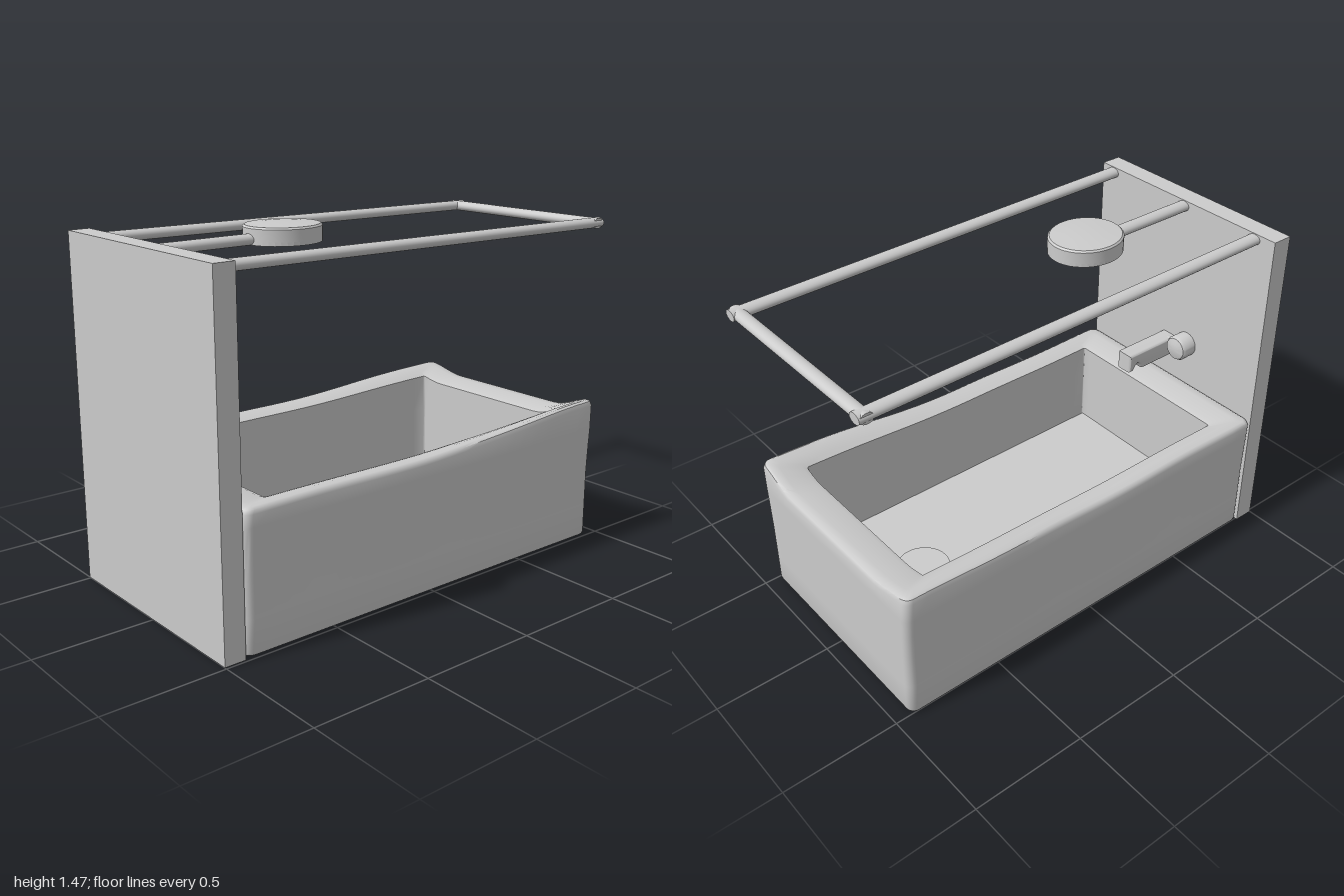
import * as THREE from 'three';
import { toCreasedNormals } from 'three/addons/utils/BufferGeometryUtils.js';

const material = new THREE.MeshStandardMaterial({ color: 0xcccccc, side: THREE.DoubleSide });

function part(parent, name, geometry, x = 0, y = 0, z = 0) {
  const mesh = new THREE.Mesh(geometry, material);
  mesh.name = name;
  mesh.position.set(x, y, z);
  parent.add(mesh);
  return mesh;
}

// Slightly flattened round bar between two points
function bar(parent, name, a, b, rx, ry) {
  const from = new THREE.Vector3(...a), to = new THREE.Vector3(...b);
  const geometry = new THREE.CylinderGeometry(rx, rx, from.distanceTo(to), 24);
  geometry.rotateX(Math.PI / 2);
  geometry.scale(1, ry / rx, 1);
  const mesh = part(parent, name, geometry);
  mesh.position.copy(from).add(to).multiplyScalar(0.5);
  mesh.lookAt(to);
  return mesh;
}

// Points round a rounded rectangle, counter-clockwise from above
function ring({ x0, x1, z0, z1, r, y }) {
  const corners = [
    [x1 - r, z0 + r, 0], [x0 + r, z0 + r, 1], [x0 + r, z1 - r, 2], [x1 - r, z1 - r, 3],
  ];
  const points = [], arc = 6, side = 24;
  corners.forEach(([cx, cz, q], k) => {
    for (let i = 0; i <= arc; i++) {
      const t = (q + i / arc) * Math.PI / 2;
      points.push(new THREE.Vector3(cx + r * Math.cos(t), y, cz - r * Math.sin(t)));
    }
    const last = points[points.length - 1];
    const [nx, nz, nq] = corners[(k + 1) % 4];
    const t = nq * Math.PI / 2;
    const next = new THREE.Vector3(nx + r * Math.cos(t), y, nz - r * Math.sin(t));
    for (let i = 1; i < side; i++) points.push(last.clone().lerp(next, i / side));
  });
  return points;
}

// Soft rim: the back corners lift and the long sides flare a little
function sag(p) {
  const high = THREE.MathUtils.smoothstep(p.y, 0.3, 0.57);
  const back = THREE.MathUtils.smoothstep(-p.z, -0.1, 0.95);
  const edge = THREE.MathUtils.smoothstep(Math.abs(p.x), 0.3, 0.5);
  const lift = p.x > 0 ? 0.058 : 0.034;
  const rim = THREE.MathUtils.smoothstep(p.y, 0.5, 0.56);
  p.y += rim * back * (0.008 + edge * lift);
  p.x += Math.sign(p.x) * high * edge * (0.004 + 0.01 * back + 0.003 * Math.sin(p.z * 9));
  return p;
}

function tubGeometry() {
  const outer = (y, inset, r) => ({
    x0: -0.51 + inset, x1: 0.5 - inset, z0: -0.935 + inset, z1: 0.91 - inset, r, y });
  const inner = (y, grow) => ({
    x0: -0.405 - grow, x1: 0.4 + grow, z0: -0.78 - grow, z1: 0.755 + grow, r: 0.008 + grow, y });
  const rows = [
    outer(0.008, 0.012, 0.03), outer(0.012, 0.003, 0.035), outer(0.022, 0, 0.035),
    outer(0.15, 0, 0.035), outer(0.3, 0, 0.035), outer(0.42, 0, 0.035), outer(0.5, 0, 0.035),
    outer(0.55, 0, 0.035), outer(0.565, 0.006, 0.035), outer(0.572, 0.018, 0.03),
    outer(0.57, 0.05, 0.025), inner(0.563, 0.02), inner(0.556, 0),
    inner(0.42, 0), inner(0.175, 0),
  ].map(ring);
  const centre = y => rows[0].map(() => new THREE.Vector3(0, y, 0));
  const loops = [centre(0.008), ...rows.map(row => row.map(sag)), centre(0.175)];
  const n = rows[0].length, index = [];
  for (let j = 0; j < loops.length - 1; j++) {
    for (let i = 0; i < n; i++) {
      const k = (i + 1) % n;
      const a = j * n + i, b = j * n + k, c = b + n, d = a + n;
      if (j > 0) index.push(a, b, c);
      if (j < loops.length - 2) index.push(a, c, d);
    }
  }
  const geometry = new THREE.BufferGeometry().setFromPoints(loops.flat());
  geometry.setIndex(index);
  return toCreasedNormals(geometry, 0.7);
}

function lathe(points) {
  const profile = points.map(p => new THREE.Vector2(...p));
  return toCreasedNormals(new THREE.LatheGeometry(profile, 40), 0.6);
}

export function createModel() {
  const model = new THREE.Group();
  model.name = 'bathtubWithShower';

  // Wall panel at the tap end
  part(model, 'wallPanel', new THREE.BoxGeometry(1, 1.435, 0.09), -0.01, 0.7175, 0.955);

  // Tub and drain
  part(model, 'tub', tubGeometry());
  part(model, 'drain', new THREE.CylinderGeometry(0.113, 0.113, 0.012, 36), -0.01, 0.178, -0.51);

  // Curtain rail
  const rail = new THREE.Group();
  rail.name = 'curtainRail';
  model.add(rail);
  for (const x of [-0.403, 0.424]) {
    bar(rail, 'sideRail', [x, 1.41, 0.93], [x, 1.392, -1], 0.031, 0.022);
  }
  bar(rail, 'endRail', [-0.43, 1.392, -0.968], [0.45, 1.392, -0.968], 0.029, 0.022);

  // Shower arm and head, with a perforated plate underneath
  const shower = new THREE.Group();
  shower.name = 'shower';
  model.add(shower);
  bar(shower, 'showerArm', [-0.01, 1.41, 0.93], [-0.01, 1.41, 0.42], 0.03, 0.022);
  const head = new THREE.Group();
  head.name = 'showerHead';
  head.position.set(-0.01, 0, 0.352);
  head.scale.z = 1.1;
  shower.add(head);
  part(head, 'headBody', lathe([
    [0, 1.405], [0.145, 1.405], [0.145, 1.452], [0.138, 1.459], [0.08, 1.464], [0, 1.466]]));
  const plate = new THREE.Shape().absarc(0, 0, 0.145, 0, Math.PI * 2);
  for (let i = 0; i < 7; i++) {
    const r = i ? 0.088 : 0, t = i * Math.PI / 3;
    plate.holes.push(new THREE.Path().absarc(r * Math.cos(t), r * Math.sin(t), 0.032, 0, Math.PI * 2, true));
  }
  const plateGeometry = new THREE.ExtrudeGeometry(plate, { depth: 0.015, bevelEnabled: false, curveSegments: 20 });
  plateGeometry.rotateX(-Math.PI / 2);
  part(head, 'sprayPlate', plateGeometry, 0, 1.39, 0);

  // Tap: spout with a notched outlet, and a round knob beside it
  const tap = new THREE.Group();
  tap.name = 'tap';
  model.add(tap);
  const spout = new THREE.Shape();
  spout.moveTo(-0.92, 0.69);
  spout.lineTo(-0.92, 0.76);
  spout.lineTo(-0.64, 0.76);
  spout.lineTo(-0.64, 0.695);
  spout.lineTo(-0.648, 0.695);
  spout.quadraticCurveTo(-0.68, 0.76, -0.715, 0.69);
  spout.closePath();
  const spoutGeometry = new THREE.ExtrudeGeometry(spout, {
    depth: 0.05, bevelThickness: 0.015, bevelSize: 0.01, bevelSegments: 4 });
  spoutGeometry.rotateY(Math.PI / 2);
  part(tap, 'spout', toCreasedNormals(spoutGeometry, 0.6), -0.015, 0, 0);
  const knob = part(tap, 'knob', lathe([
    [0, -0.02], [0.055, -0.02], [0.057, 0.06], [0.05, 0.072], [0.025, 0.08], [0, 0.081]]), -0.098, 0.765, 0.91);
  knob.rotation.x = -Math.PI / 2;
  bar(tap, 'knobCollar', [-0.1, 0.755, 0.885], [0.0, 0.745, 0.885], 0.025, 0.025);

  return model;
}
